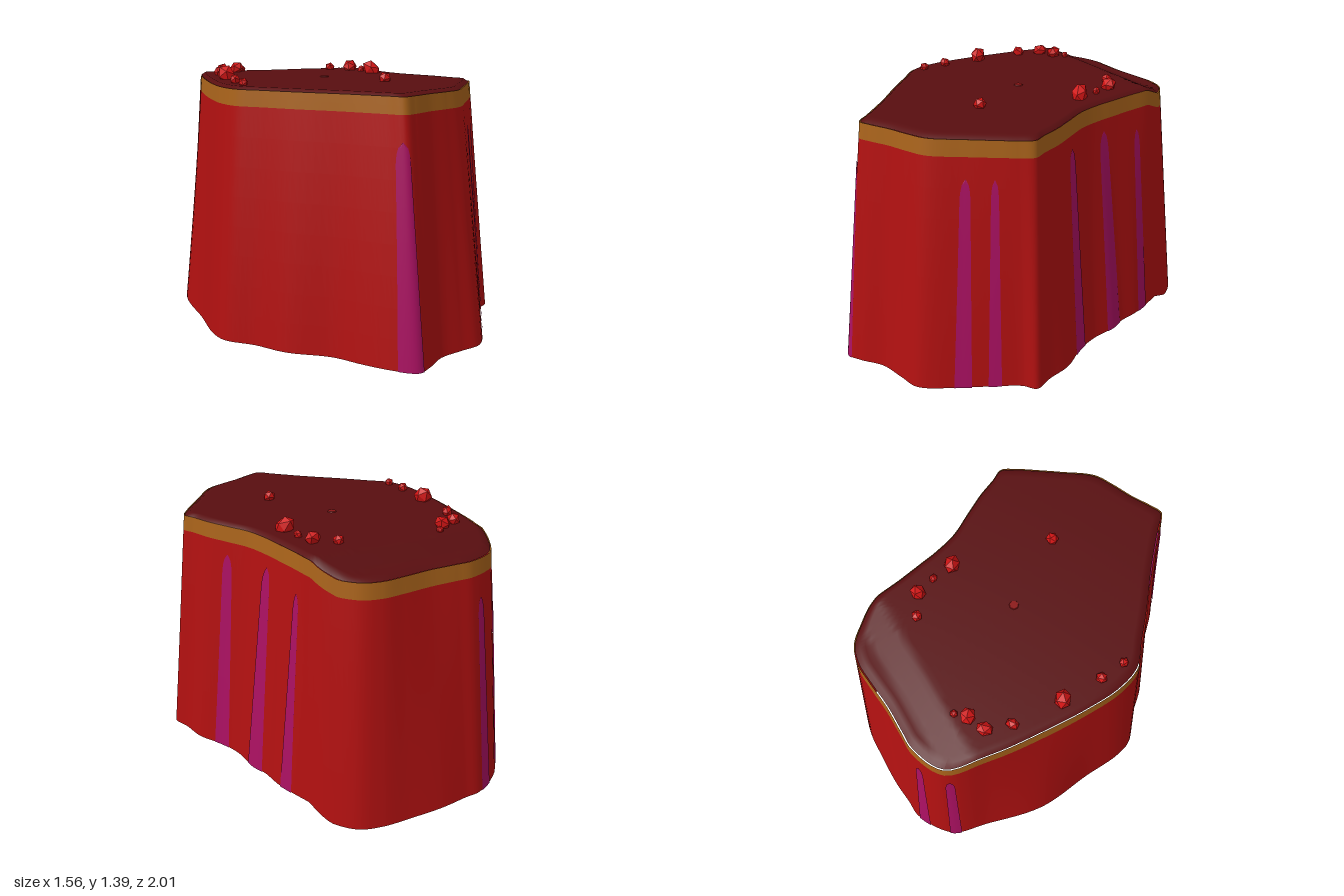
import * as THREE from 'three';
import { ParametricGeometry } from 'three/addons/geometries/ParametricGeometry.js';

// Matching outline points: foot x, foot z, top x, top z (clockwise from the back)
const outline = [
  [-.05, -1, -.04, -.875], [.18, -1, .14, -.85], [.27, -.95, .22, -.8], [.4, -.88, .34, -.72],
  [.56, -.77, .47, -.65], [.68, -.68, .57, -.59], [.76, -.58, .635, -.51], [.78, -.43, .655, -.35],
  [.755, -.3, .64, -.27], [.71, -.1, .58, -.14], [.66, .02, .52, 0], [.64, .11, .49, .07],
  [.58, .24, .45, .2], [.55, .37, .44, .33], [.545, .53, .43, .46], [.5, .66, .41, .57],
  [.475, .76, .4, .64], [.4, .77, .33, .68], [.27, .835, .23, .72], [.14, .905, .11, .765],
  [-.06, .995, -.05, .82], [-.18, .96, -.16, .81], [-.31, .92, -.27, .79], [-.44, .93, -.38, .78],
  [-.52, .92, -.445, .765], [-.57, .81, -.465, .68], [-.6, .66, -.49, .57], [-.62, .5, -.52, .45],
  [-.71, .29, -.58, .25], [-.735, .11, -.62, .09], [-.78, -.05, -.655, -.05], [-.75, -.16, -.62, -.18],
  [-.63, -.36, -.53, -.33], [-.47, -.64, -.38, -.53], [-.23, -.86, -.22, -.72],
];
const rim = (i) => new THREE.CatmullRomCurve3(
  outline.map((p) => new THREE.Vector3(p[i], 0, p[i + 1])), true);
const foot = rim(0), top = rim(2);
const BASE = .06, HEIGHT = 1.245, BAND = .936;

// The back right corner is sunk by a short ramp
function drop(x, z, h) {
  const start = THREE.MathUtils.lerp(.665, .565, h);
  return .058 * THREE.MathUtils.clamp((.55 * x - .83 * z - start) / .135, 0, 1);
}

// Point on the cliff: t around the outline, h from foot (0) to top (1)
function cliffPoint(t, h, target) {
  t = ((t % 1) + 1) % 1;
  target.copy(foot.getPoint(t)).lerp(top.getPoint(t), h);
  target.y = BASE + HEIGHT * h - drop(target.x, target.z, h);
  return target;
}

// Parameter of the outline nearest to a point at the foot
function nearest(x, z) {
  let best = 0, bestD = Infinity;
  for (let i = 0; i < 1400; i++) {
    const p = foot.getPoint(i / 1400);
    const d = Math.hypot(p.x - x, p.z - z);
    if (d < bestD) { bestD = d; best = i / 1400; }
  }
  return best;
}

export function createModel() {
  const model = new THREE.Group();
  const mat = (name, color, side = THREE.DoubleSide) => {
    const m = new THREE.MeshStandardMaterial({ color, side });
    m.name = name;
    return m;
  };
  const red = mat('cliff red', 0xb01010);
  const gold = mat('band gold', 0xa8621a);
  const purple = mat('streak magenta', 0xa81060);
  const dark = mat('plateau maroon', 0x580e10);
  const bright = mat('crystal red', 0xd01414, THREE.FrontSide);
  bright.flatShading = true;
  const add = (name, geometry, material, parent = model) => {
    const mesh = new THREE.Mesh(geometry, material);
    mesh.name = name;
    parent.add(mesh);
    return mesh;
  };

  // Cliff wall, open underneath, with a band round its upper edge
  const ring = (h0, h1, rows) => new ParametricGeometry(
    (u, v, p) => cliffPoint(1 - u, h0 + (h1 - h0) * v, p), 210, rows);
  add('cliffWall', ring(0, BAND, 8), red);
  add('upperBand', ring(BAND, 1, 2), gold);

  // Plateau with a small bevel at the rim
  const plateau = new ParametricGeometry((u, v, p) => {
    p.copy(top.getPoint((1 - u) % 1)).multiplyScalar(.993 * (1 - v));
    p.y = 1.303 + .015 * Math.min(1, v * 30) - drop(p.x, p.z, 1);
  }, 210, 30);
  plateau.computeVertexNormals();
  add('plateau', plateau, dark);

  // Round-tipped streaks on both faces of the wall: x, z at the foot, half width, tip height
  const streaks = new THREE.Group();
  streaks.name = 'streaks';
  model.add(streaks);
  for (const [x, z, halfWidth, tip] of [
    [-.53, .9, .065, .84], [.145, .9, .04, .855], [.28, .83, .033, .855],
    [.55, .37, .05, .885], [.645, .09, .05, .89], [.72, -.15, .04, .85],
    [-.07, -.99, .035, .85], [.13, -1, .04, .85],
  ]) {
    const centre = nearest(x, z), e = .002;
    const wrap = (t) => (t + 1) % 1;
    const speed = foot.getPoint(wrap(centre + e)).distanceTo(foot.getPoint(wrap(centre - e))) / (2 * e);
    for (const side of [1, -1]) {
      add('streak', new ParametricGeometry((u, v, p) => {
        const round = v > .9 ? Math.sqrt(Math.max(0, 1 - ((v - .9) / .1) ** 2)) : 1;
        const width = halfWidth / speed * (1 - .35 * v) * round;
        const t = wrap(centre + (1 - 2 * u) * width);
        cliffPoint(t, v * tip, p);
        const tangent = foot.getTangent(t);
        p.x += tangent.z * .004 * side;
        p.z -= tangent.x * .004 * side;
      }, 8, 40), purple, streaks);
    }
  }

  // Crystals scattered on the plateau: x, z, radius, stretch along z
  const crystals = new THREE.Group();
  crystals.name = 'crystals';
  model.add(crystals);
  [
    [-.24, -.56, .034, .8], [-.135, -.635, .036, 1.2], [-.04, -.615, .044, .8], [.025, -.63, .02, 1],
    [-.4, -.355, .052, .8], [-.52, -.18, .03, .9], [-.585, -.065, .026, .9], [.405, -.275, .03, .9],
    [.455, -.165, .044, .8], [.425, -.065, .024, .8], [.375, .04, .044, 1.4], [-.01, .38, .034, 1],
  ].forEach(([x, z, r, stretch], i) => {
    const crystal = add('crystal', new THREE.IcosahedronGeometry(r, 0), bright, crystals);
    crystal.position.set(x, 1.318 + r * .45, z);
    crystal.scale.set(1, .95, stretch);
    crystal.rotation.set(i * .7, i * 1.9, i * 1.1);
  });

  // Nearly buried crystal in the middle
  const buried = add('buriedCrystal', new THREE.CylinderGeometry(.022, .025, .006, 7),
    mat('buried crystal crimson', 0x8c1414, THREE.FrontSide));
  buried.position.set(.01, 1.32, -.02);
  return model;
}
